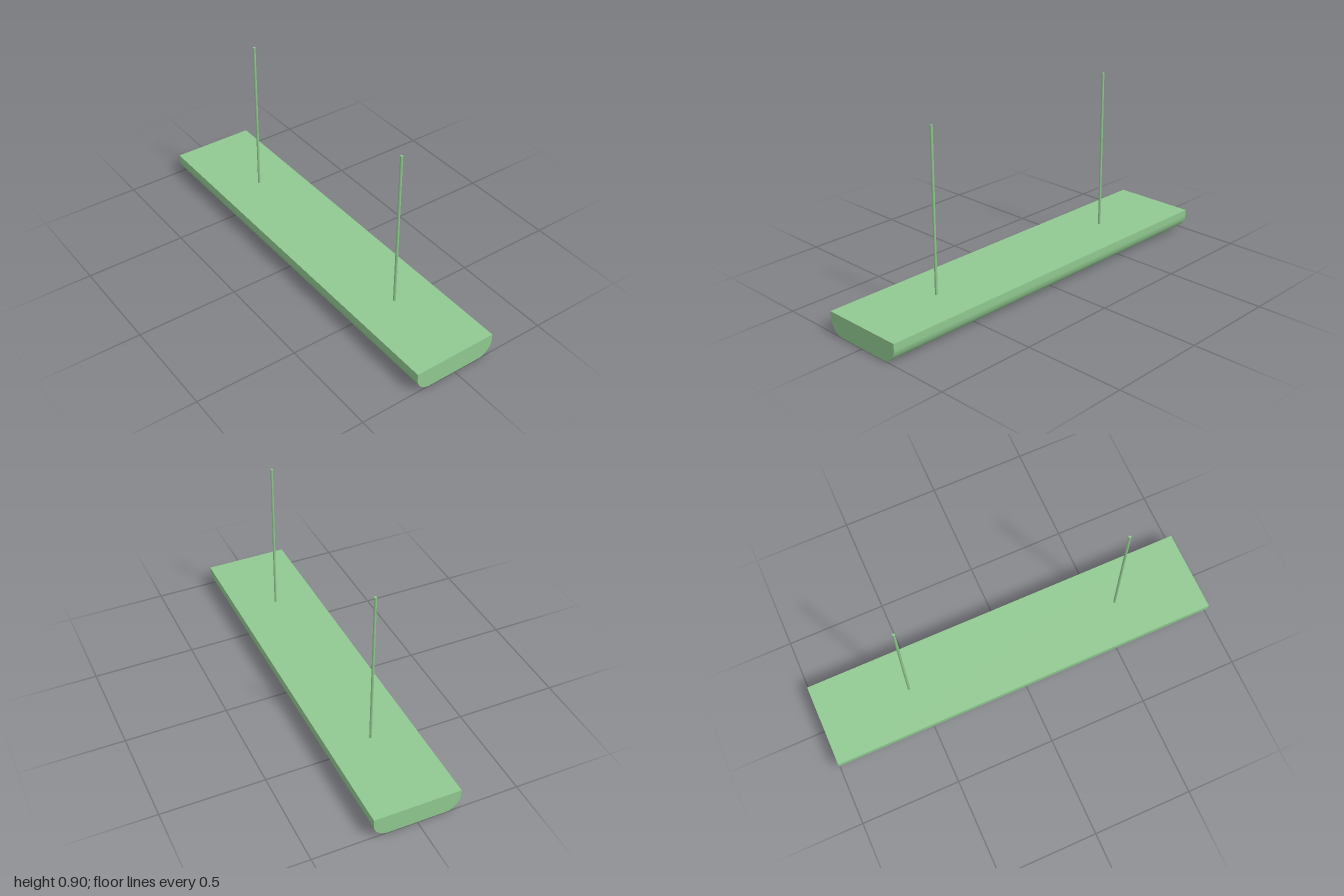
import * as THREE from 'three';
import { toCreasedNormals } from 'three/addons/utils/BufferGeometryUtils.js';

const HALF_LEN = 1, HALF_W = 0.211, TOP = 0.104;
const BEND_Y = 0.075, FLAT_W = 0.138;               // where the rounded sides start and end
const OPEN_X = 0.885, OPEN_Z = 0.12, OPEN_TOP = 0.085; // lamp recess

export function createModel() {
  const group = new THREE.Group();
  const material = new THREE.MeshStandardMaterial({ color: 0x90c890 });

  function add(geometry, name, x = 0, y = 0, z = 0, parent = group) {
    const mesh = new THREE.Mesh(geometry, material);
    mesh.name = name;
    mesh.position.set(x, y, z);
    parent.add(mesh);
    return mesh;
  }

  // Cross-section with rounded lower sides, optionally with the recess cut in
  function profile(recessed) {
    const s = new THREE.Shape();
    const rx = HALF_W - FLAT_W;
    s.moveTo(HALF_W, TOP);
    s.lineTo(-HALF_W, TOP);
    s.lineTo(-HALF_W, BEND_Y);
    s.absellipse(-FLAT_W, BEND_Y, rx, BEND_Y, Math.PI, Math.PI * 1.5, false);
    if (recessed) {
      s.lineTo(-OPEN_Z, 0);
      s.lineTo(-OPEN_Z, OPEN_TOP);
      s.lineTo(OPEN_Z, OPEN_TOP);
      s.lineTo(OPEN_Z, 0);
    }
    s.lineTo(FLAT_W, 0);
    s.absellipse(FLAT_W, BEND_Y, rx, BEND_Y, Math.PI * 1.5, Math.PI * 2, false);
    s.closePath();
    return s;
  }

  // Sweep a cross-section along x
  function section(recessed, x0, x1, name) {
    const g = new THREE.ExtrudeGeometry(profile(recessed), {
      depth: x1 - x0, bevelEnabled: false, curveSegments: 12,
    });
    g.rotateY(Math.PI / 2);
    g.translate(x0, 0, 0);
    add(toCreasedNormals(g, 0.5), name);
  }

  // Housing: open channel closed by a solid block at each end
  section(true, -OPEN_X, OPEN_X, 'housing');
  section(false, -HALF_LEN, -OPEN_X, 'rightEndBlock');
  section(false, OPEN_X, HALF_LEN, 'leftEndBlock');

  // Louvre grid: one long rib and evenly spaced cross ribs
  const louvre = new THREE.Group();
  louvre.name = 'louvreGrid';
  group.add(louvre);
  const ribH = 0.042, ribT = 0.016, ribY = 0.002 + ribH / 2;
  add(new THREE.BoxGeometry(OPEN_X * 2, ribH, ribT), 'longRib', 0, ribY, 0, louvre);
  const ribs = 8, pitch = 0.228;
  for (let i = 0; i < ribs; i++) {
    const x = (i - (ribs - 1) / 2) * pitch;
    add(new THREE.BoxGeometry(ribT, ribH, OPEN_Z * 2), 'crossRib', x, ribY, 0, louvre);
  }

  // Lamp tubes above the grid
  for (const z of [-0.06, 0.06]) {
    const tube = add(new THREE.CylinderGeometry(0.015, 0.015, OPEN_X * 2, 16), 'lampTube', 0, 0.064, z);
    tube.rotation.z = Math.PI / 2;
  }

  // Hanging rods
  const rodH = 0.9 - TOP;
  for (const x of [-0.545, 0.575]) {
    add(new THREE.CylinderGeometry(0.0065, 0.0065, rodH, 8), 'hangingRod', x, TOP + rodH / 2, -0.002);
  }

  return group;
}
